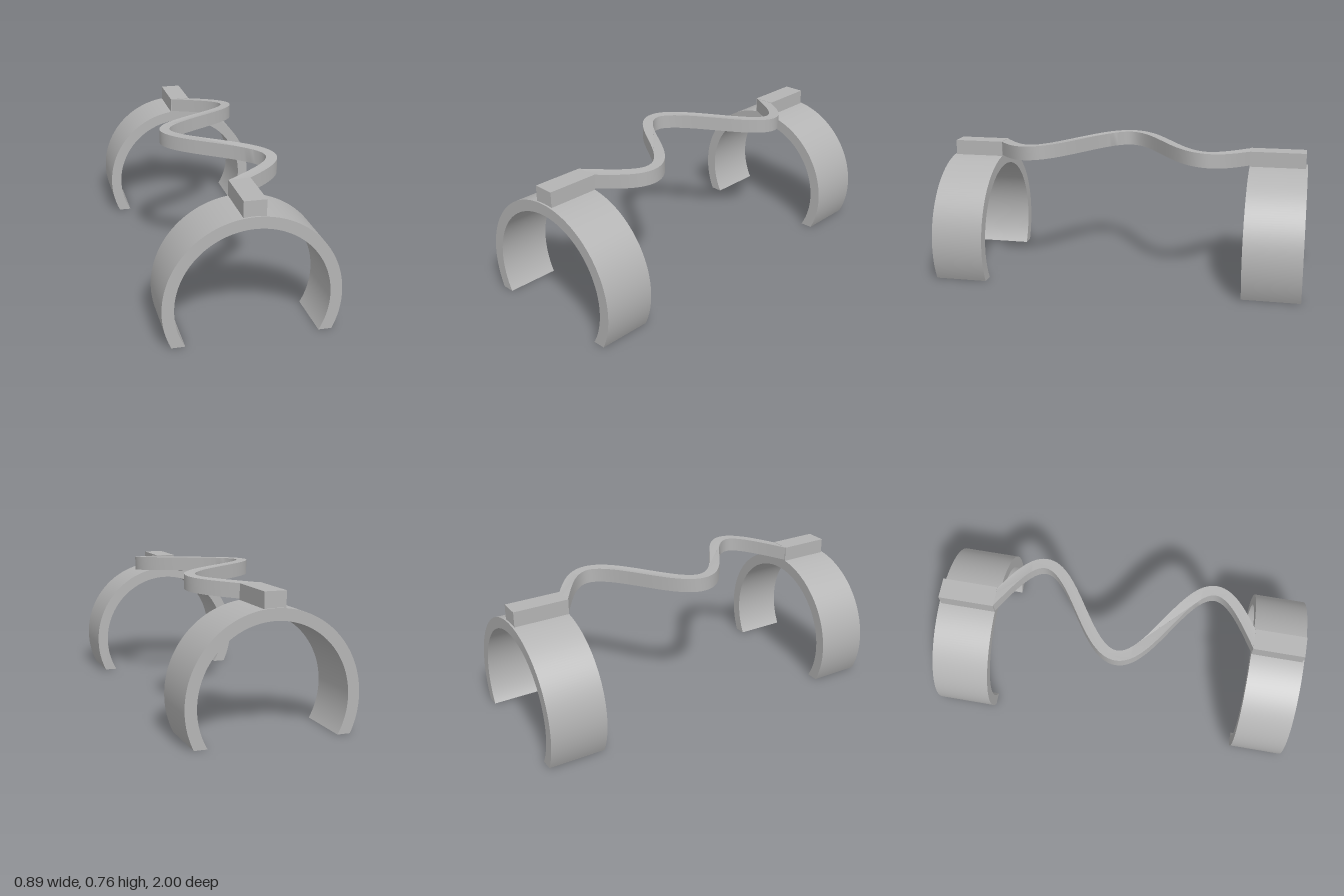
import * as THREE from 'three';
import { toCreasedNormals } from 'three/addons/utils/BufferGeometryUtils.js';

export function createModel() {
  const group = new THREE.Group();
  const grey = new THREE.MeshStandardMaterial({ color: 0xb4b4b4 });
  grey.name = 'satin grey';

  const add = (name, geometry) => {
    const mesh = new THREE.Mesh(geometry, grey);
    mesh.name = name;
    group.add(mesh);
    return mesh;
  };
  const extrude = (shape, depth) =>
    new THREE.ExtrudeGeometry(shape, { depth, bevelEnabled: false, curveSegments: 64 });

  // Open cuffs: circular bands cut level at the ground
  const centreY = 0.193, outer = 0.446, inner = 0.386;
  const a = Math.asin(-centreY / outer), b = Math.asin(-centreY / inner);
  const arch = new THREE.Shape();
  arch.absarc(0, centreY, outer, a, Math.PI - a, false);
  arch.absarc(0, centreY, inner, Math.PI - b, b, true);

  for (const [side, z0, z1] of [['front', 0.715, 1], ['back', -1, -0.69]]) {
    const cuff = add(side + 'Cuff', toCreasedNormals(extrude(arch, z1 - z0), 0.5));
    cuff.position.z = z0;

    // Mounting block along the crown of the cuff
    const b0 = Math.max(z0, -0.99), b1 = Math.min(z1, 0.99);
    const block = add(side + 'Block', new THREE.BoxGeometry(0.112, 0.088, b1 - b0));
    block.position.set(0, 0.674, (b0 + b1) / 2);
  }

  // Wavy spring strip: one and a half cosine waves with constant width
  const middle = 0.0125, half = 0.7025, amplitude = 0.23, halfWidth = 0.028;
  const k = 1.5 * Math.PI / half, steps = 96, extra = 0.023;
  const left = [], right = [];
  for (let i = 0; i <= steps; i++) {
    const t = (half + extra) * (2 * i / steps - 1);
    const x = -amplitude * Math.cos(k * t);
    const slope = amplitude * k * Math.sin(k * t);
    const n = halfWidth / Math.hypot(1, slope);
    left.push(new THREE.Vector2(x + n, middle + t - slope * n));
    right.unshift(new THREE.Vector2(x - n, middle + t + slope * n));
  }
  const strip = extrude(new THREE.Shape([...left, ...right]), 0.076);
  strip.rotateX(Math.PI / 2);

  // Bow the strip gently upwards towards its middle
  const p = strip.attributes.position;
  for (let i = 0; i < p.count; i++) {
    const u = (p.getZ(i) - middle) / half;
    p.setY(i, p.getY(i) + 0.756 - 0.039 * u * u);
  }
  add('waveSpring', toCreasedNormals(strip, 0.6));

  return group;
}
